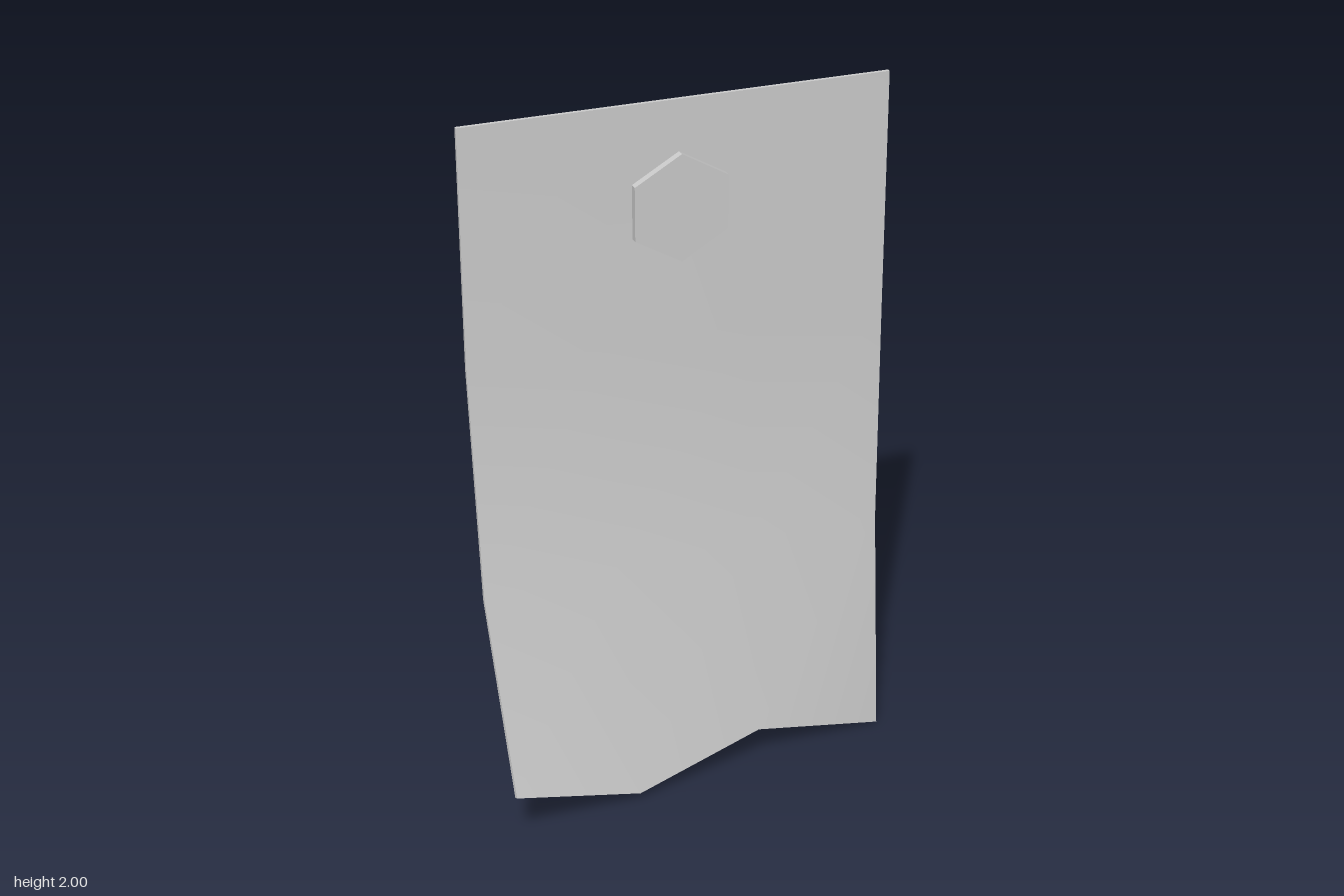
import * as THREE from 'three';

const THICKNESS = 0.011;

// Front face of the sheet: rows from top to bottom, each [x, y, z] from right to left side
const ROWS = [
  [[-0.595, 2, -0.105], [-0.2, 2, -0.117], [0.2, 2, -0.13], [0.593, 2, -0.142]],
  [[-0.595, 1.33, -0.1], [-0.2, 1.33, -0.115], [0.2, 1.33, -0.128], [0.593, 1.33, -0.142]],
  [[-0.59, 0.675, -0.025], [-0.195, 0.67, -0.083], [0.2, 0.67, -0.115], [0.593, 0.665, -0.137]],
  [[-0.57, 0.155, 0.17], [-0.185, 0.022, 0.072], [0.2, 0.102, -0.012], [0.595, 0.003, -0.08]],
];

function geometryFrom(points, index) {
  const geometry = new THREE.BufferGeometry();
  geometry.setAttribute('position', new THREE.Float32BufferAttribute(points.flatMap(p => p.toArray()), 3));
  if (index) geometry.setIndex(index);
  geometry.computeVertexNormals();
  return geometry;
}

export function createModel() {
  const group = new THREE.Group();
  const smooth = new THREE.MeshStandardMaterial({ color: 0xcccccc });
  const flat = new THREE.MeshStandardMaterial({ color: 0xcccccc, flatShading: true });
  const add = (name, geometry, material) => {
    const mesh = new THREE.Mesh(geometry, material);
    mesh.name = name;
    group.add(mesh);
    return mesh;
  };

  // Curled front and back faces of the sheet
  const front = ROWS.flat().map(p => new THREE.Vector3(...p));
  const index = [];
  for (let r = 0; r < 3; r++) {
    for (let c = 0; c < 3; c++) {
      const a = r * 4 + c, b = a + 1, d = a + 4, e = a + 5;
      index.push(a, d, b, d, e, b);
    }
  }
  const frontGeometry = geometryFrom(front, index);
  const normals = frontGeometry.attributes.normal;
  const back = front.map((p, i) => {
    const n = new THREE.Vector3().fromBufferAttribute(normals, i);
    if (i < 4) n.setY(0).normalize(); // keeps the top edge level
    return p.clone().addScaledVector(n, -THICKNESS);
  });
  add('sheetFront', frontGeometry, smooth);
  add('sheetBack', geometryFrom(back, [...index].reverse()), smooth);

  // Thin rim around the sheet
  const loop = [0, 4, 8, 12, 13, 14, 15, 11, 7, 3, 2, 1];
  const rim = loop.flatMap((p, i) => {
    const q = loop[(i + 1) % loop.length];
    return [front[p], back[p], front[q], back[p], back[q], front[q]];
  });
  add('sheetRim', geometryFrom(rim), flat);

  // Hexagonal bolt through the top of the sheet
  const bolt = add('bolt', new THREE.CylinderGeometry(0.151, 0.151, 0.07, 6).rotateX(Math.PI / 2), flat);
  bolt.position.set(0, 1.706, -0.136);
  bolt.rotation.y = 0.033;

  return group;
}
